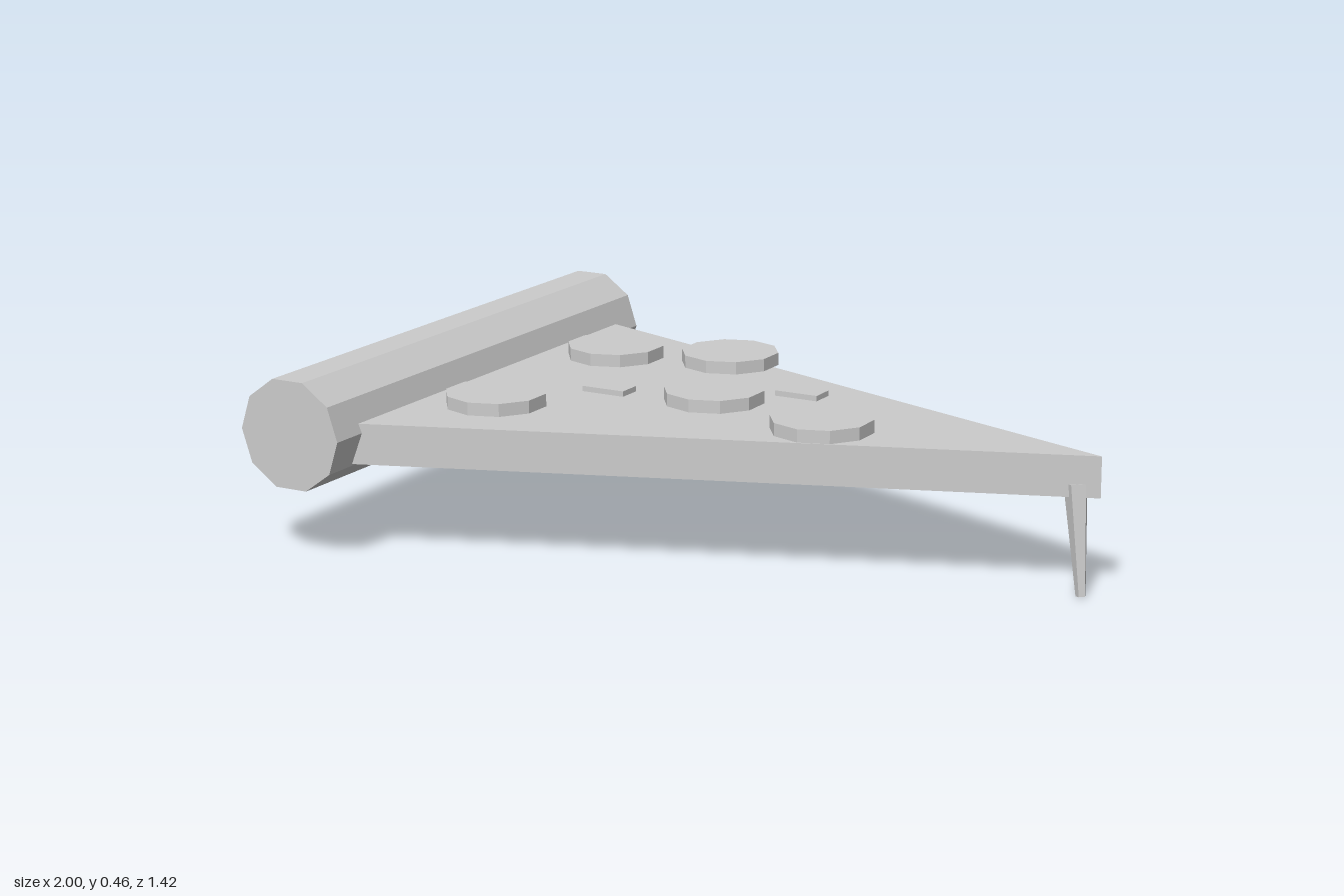
import * as THREE from 'three';

export function createModel() {
  const model = new THREE.Group();
  const material = new THREE.MeshStandardMaterial({ color: 0xcccccc, flatShading: true });

  const add = (name, geometry, x = 0, y = 0, z = 0) => {
    const mesh = new THREE.Mesh(geometry, material);
    mesh.name = name;
    mesh.position.set(x, y, z);
    model.add(mesh);
    return mesh;
  };

  // Ten-sided crust roll along z, with corners pointing to +x and -x
  const crustGeo = new THREE.CylinderGeometry(0.145, 0.145, 1.425, 10);
  crustGeo.rotateY(Math.PI / 2).rotateX(Math.PI / 2);
  add('crust', crustGeo, -0.855, 0.325, 0);

  // Triangular slice, its wide end buried in the crust
  const slice = new THREE.Shape([
    new THREE.Vector2(1, 0),
    new THREE.Vector2(-0.8, 0.642),
    new THREE.Vector2(-0.8, -0.642),
  ]);
  const sliceGeo = new THREE.ExtrudeGeometry(slice, { depth: 0.104, bevelEnabled: false });
  sliceGeo.rotateX(-Math.PI / 2);
  add('slice', sliceGeo, 0, 0.245, 0);

  // Round toppings, two of them overhanging the edges
  const discGeo = new THREE.CylinderGeometry(0.13, 0.13, 0.033, 10);
  const discs = [[-0.525, -0.295], [-0.525, 0.288], [-0.22, -0.375], [-0.06, -0.005], [0.31, 0.115]];
  for (const [x, z] of discs) add('roundTopping', discGeo, x, 0.3665, z);

  // Small flat chunks
  const chunkGeo = new THREE.BoxGeometry(0.12, 0.014, 0.065);
  for (const [x, z] of [[0.122, -0.135], [-0.328, 0.063]]) add('chunkTopping', chunkGeo, x, 0.364, z);

  // Tapered drip hanging from the tip, leaning outwards and forwards
  const top = new THREE.Vector3(0.937, 0.275, 0.002);
  const end = new THREE.Vector3(0.968, 0.003, 0.027);
  const axis = top.clone().sub(end);
  const drip = add('drip', new THREE.CylinderGeometry(0.031, 0.013, axis.length(), 5));
  drip.position.copy(top).add(end).multiplyScalar(0.5);
  drip.quaternion.setFromUnitVectors(new THREE.Vector3(0, 1, 0), axis.normalize());

  return model;
}
